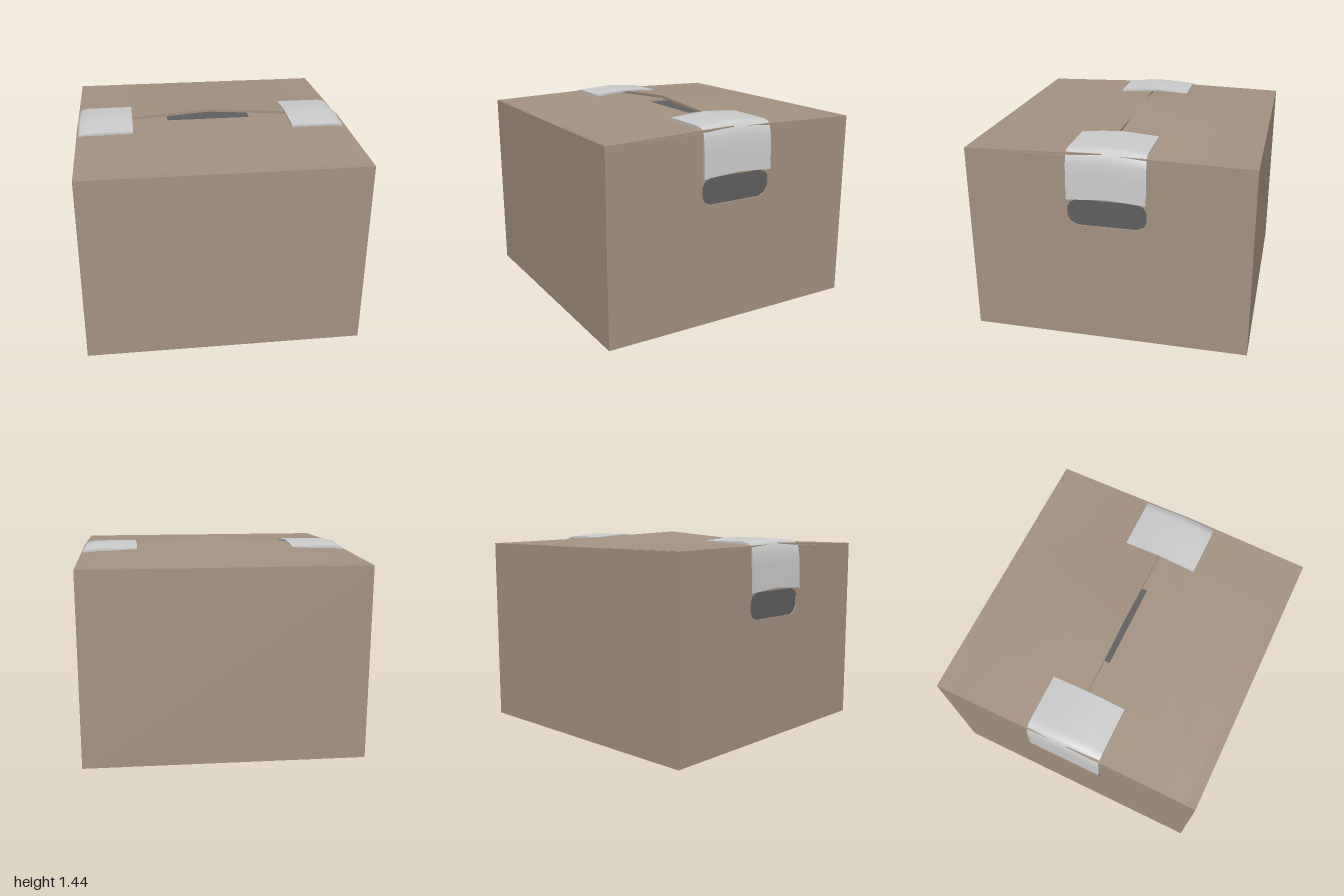
import * as THREE from 'three';

const W = 0.975, H = 1.35, T = 0.012;
const card = new THREE.MeshStandardMaterial({ color: 0xa59281, side: THREE.DoubleSide });
const dark = new THREE.MeshStandardMaterial({ color: 0x606060 });
const grey = new THREE.MeshStandardMaterial({ color: 0xcccccc, side: THREE.DoubleSide });

function add(parent, name, geometry, material, x = 0, y = 0, z = 0) {
  const mesh = new THREE.Mesh(geometry, material);
  mesh.name = name;
  mesh.position.set(x, y, z);
  parent.add(mesh);
  return mesh;
}

// Bends a segmented unit box: rule(u, v, top) gives a point, u and v run 0..1
function bentSheet(nu, nv, rule) {
  const geo = new THREE.BoxGeometry(1, 1, 1, nu, 1, nv);
  const p = geo.attributes.position;
  for (let i = 0; i < p.count; i++) {
    p.setXYZ(i, ...rule(p.getX(i) + 0.5, p.getZ(i) + 0.5, p.getY(i) > 0));
  }
  geo.computeVertexNormals();
  return geo;
}

// Side wall with a rounded hand hole, facing +x
function sideWallGeometry() {
  const s = new THREE.Shape();
  s.moveTo(-W, 0).lineTo(W, 0).lineTo(W, H).lineTo(-W, H).closePath();
  const corner = [[0.27, 0.035], [0.25, 0.072], [0.2, 0.095]];
  const pts = [
    ...corner,
    ...corner.map(([a, b]) => [-a, b]).reverse(),
    ...corner.map(([a, b]) => [-a, -b]),
    ...corner.map(([a, b]) => [a, -b]).reverse(),
  ].map(([a, b]) => new THREE.Vector2(a, 0.955 + b));
  s.holes.push(new THREE.Path(pts));
  const geo = new THREE.ExtrudeGeometry(s, { depth: T, bevelEnabled: false });
  return geo.rotateY(Math.PI / 2).translate(W - T, 0, 0);
}

// Tape strip that lies on the lid, rounds the edge and hangs down the side
function tapeGeometry() {
  const outer = [[0.575, 1.41], [0.75, 1.41], [0.9, 1.409], [0.95, 1.4], [0.976, 1.372],
    [0.988, 1.31], [0.995, 1.23], [1, 1.07]].map(([x, y]) => new THREE.Vector2(x, y));
  const n = outer.length - 1;
  return bentSheet(n, 4, (u, v, top) => {
    const i = Math.round(u * n);
    const dir = outer[Math.min(i + 1, n)].clone().sub(outer[Math.max(i - 1, 0)]).normalize();
    const t = top ? 0 : 0.015;
    const z = (v - 0.5) * 0.54;
    const sag = 0.02 * Math.pow(Math.abs(z) / 0.27, 1.2);
    return [outer[i].x + dir.y * t, outer[i].y - dir.x * t - sag, z];
  });
}

// Top flap from its hinge to its free edge, edgeY giving the height along x
function flapGeometry(hingeZ, freeZ, edgeY) {
  const xs = [-W, -0.57, -0.28, 0, 0.28, 0.57, W];
  return bentSheet(6, 4, (u, v, top) => {
    const x = xs[Math.round(u * 6)];
    const k = hingeZ < freeZ ? v : 1 - v;
    const y = THREE.MathUtils.lerp(H, edgeY(Math.abs(x)), k);
    return [x, y - (top ? 0 : 0.002 + 0.017 * k), THREE.MathUtils.lerp(hingeZ, freeZ, k)];
  });
}

export function createModel() {
  const box = new THREE.Group();
  box.name = 'cardboardBox';

  // Base, front and back panels
  add(box, 'bottom', new THREE.BoxGeometry(2 * W, T, 2 * W), card, 0, T / 2, 0);
  for (const [name, s] of [['frontWall', 1], ['backWall', -1]]) {
    add(box, name, new THREE.BoxGeometry(2 * W, H, T), card, 0, H / 2, s * (W - T / 2));
  }

  // Dark interior seen through the hand holes and the lid gap
  add(box, 'darkInterior', new THREE.BoxGeometry(1.92, 1.31, 1.92), dark, 0, 0.675, 0);

  // Each side has a wall, an inner flap and a tape strip
  const wallGeo = sideWallGeometry(), tapeGeo = tapeGeometry();
  for (const [name, turn] of [['left', 0], ['right', Math.PI]]) {
    const side = new THREE.Group();
    side.name = name + 'Side';
    side.rotation.y = turn;
    add(side, name + 'Wall', wallGeo, card);
    add(side, name + 'InnerFlap', new THREE.BoxGeometry(0.655, T, 1.92), card, 0.6375, 1.346, 0);
    add(side, name + 'Tape', tapeGeo, grey);
    box.add(side);
  }

  // Outer flaps: the back one is bowed upward in the middle
  add(box, 'frontFlap', flapGeometry(W, 0.03, () => 1.378), card);
  add(box, 'backFlap', flapGeometry(-W, -0.005, (x) =>
    x < 0.6 ? 1.44 - 0.04 * x / 0.57 : 1.37), card);

  return box;
}
